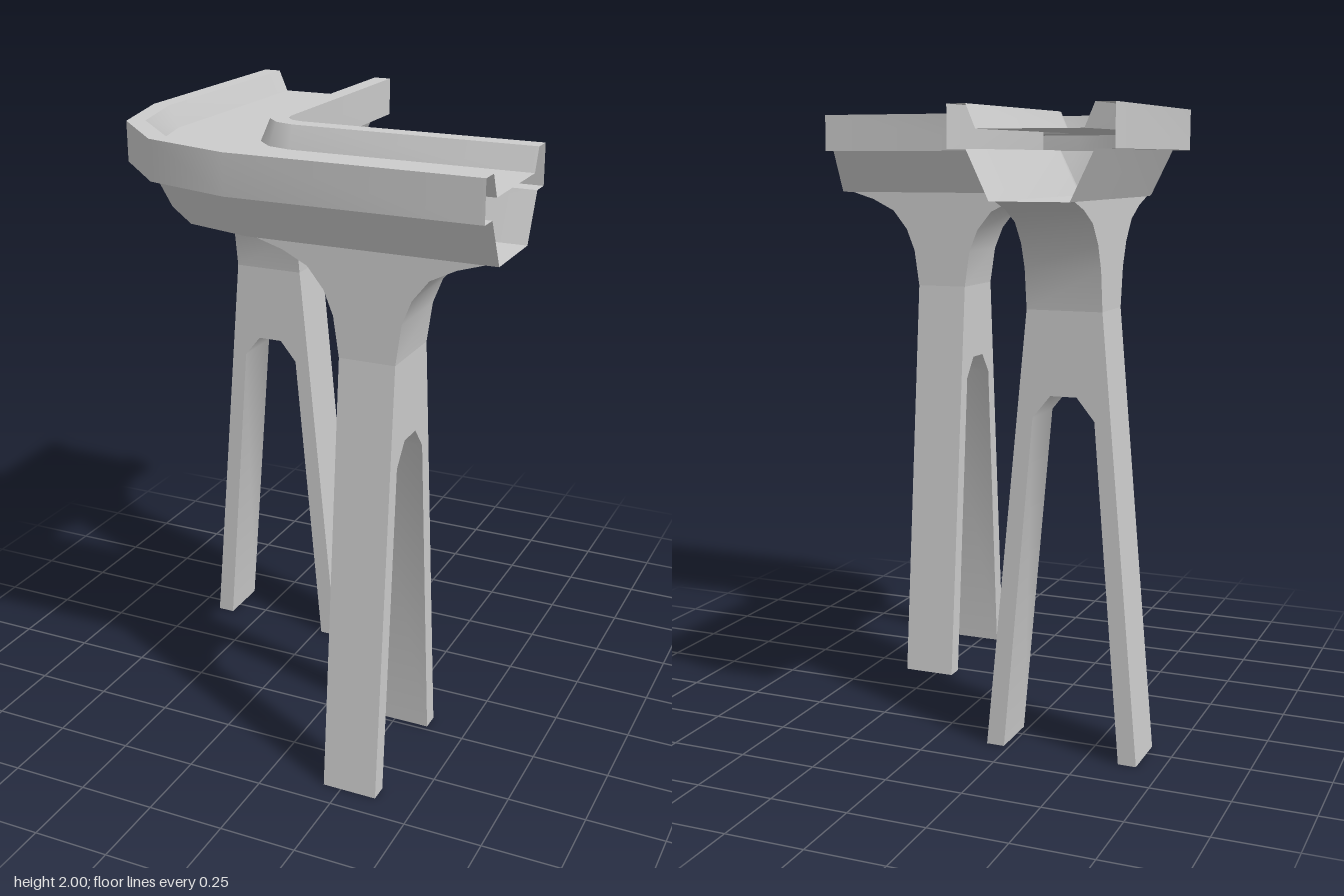
import * as THREE from 'three';
import { toCreasedNormals } from 'three/addons/utils/BufferGeometryUtils.js';

const grey = new THREE.MeshStandardMaterial({ color: 0xcccccc, side: THREE.DoubleSide });
const ARM = 0.422;    // distance of each arm's centreline from the axes
const END = 0.67;     // where the arms end
const BEND = 0.105;   // the corner turns about (-BEND, BEND)

// Surface through rows of [x, y, z] points; closed joins the ends of each row.
function skin(rows, closed) {
  const n = rows[0].length;
  const index = [];
  for (let i = 0; i < rows.length - 1; i++) {
    for (let j = 0; j < (closed ? n : n - 1); j++) {
      const k = (j + 1) % n;
      const a = i * n + j, b = i * n + k, c = b + n, d = a + n;
      index.push(a, b, c, a, c, d);
    }
  }
  const g = new THREE.BufferGeometry();
  g.setAttribute('position', new THREE.Float32BufferAttribute(rows.flat(2), 3));
  g.setIndex(index);
  return toCreasedNormals(g, 0.6);
}

function add(parent, name, geometry) {
  const mesh = new THREE.Mesh(geometry, grey);
  mesh.name = name;
  parent.add(mesh);
  return mesh;
}

// Hollow trough with a rail on each side, swept round the corner, open at both ends.
function trackGeometry() {
  const half = [[0.248, 2], [0.248, 1.875], [0.19, 1.875], [0.12, 1.73]];
  const inside = [[-0.19, 2], [-0.16, 1.93], [0.16, 1.93], [0.19, 2]];
  const profile = [...half, ...half.map(([d, y]) => [-d, y]).reverse(), ...inside];

  // stations: centre x, centre z, outward x, outward z
  const r = ARM - BEND;
  const stations = [[-ARM, -END, -1, 0]];
  for (let i = 0; i <= 3; i++) {
    const t = (i * Math.PI) / 6;
    const ox = -Math.cos(t), oz = Math.sin(t);
    stations.push([-BEND + r * ox, BEND + r * oz, ox, oz]);
  }
  stations.push([END, ARM, 0, 1]);

  return skin(stations.map(([x, z, ox, oz]) =>
    profile.map(([d, y]) => [x + d * ox, y, z + d * oz])), true);
}

// Pier: x runs along the arm, z across it.
function createPier() {
  const pier = new THREE.Group();
  const a0 = 0.19, a1 = 0.368, w = 0.12;

  // head flaring along the arm up to the track
  const flare = [[1.4, 0], [1.525, 0.018], [1.6, 0.048], [1.665, 0.1], [1.705, 0.18], [1.73, 0.262]];
  add(pier, 'pierHead', skin(flare.map(([y, f]) => [
    [a1 + f, y, w], [a1 + f, y, -w], [a0 - f, y, -w], [a0 - f, y, w],
  ]), true));

  // splayed legs with an arch between them, open underneath
  const rightSide = [[w, 1.4], [0.248, 0]];
  const arch = [[0.19, 0], [0.099, 1.07], [0.042, 1.14], [-0.042, 1.14], [-0.099, 1.07], [-0.19, 0]];
  const leftSide = [[-0.248, 0], [-w, 1.4]];
  const wall = (line) => skin([a0, a1].map((x) => line.map(([d, y]) => [x, y, d])), false);
  add(pier, 'legOuterSide', wall(rightSide));
  add(pier, 'legArch', wall(arch));
  add(pier, 'legOuterSide', wall(leftSide));

  const outline = [...rightSide, ...arch, ...leftSide].map(([d, y]) => new THREE.Vector2(d, y));
  for (const [x, turn] of [[a0, -1], [a1, 1]]) {
    const face = new THREE.ShapeGeometry(new THREE.Shape(outline));
    face.rotateY((turn * Math.PI) / 2);
    add(pier, 'legFace', face).position.x = x;
  }
  return pier;
}

export function createModel() {
  const model = new THREE.Group();
  model.name = 'elevatedCornerTrack';
  add(model, 'track', trackGeometry());

  const frontPier = createPier();
  frontPier.name = 'frontPier';
  frontPier.position.z = ARM;

  const sidePier = createPier();
  sidePier.name = 'sidePier';
  sidePier.rotation.y = Math.PI / 2;
  sidePier.position.x = -ARM;

  model.add(frontPier, sidePier);
  return model;
}
